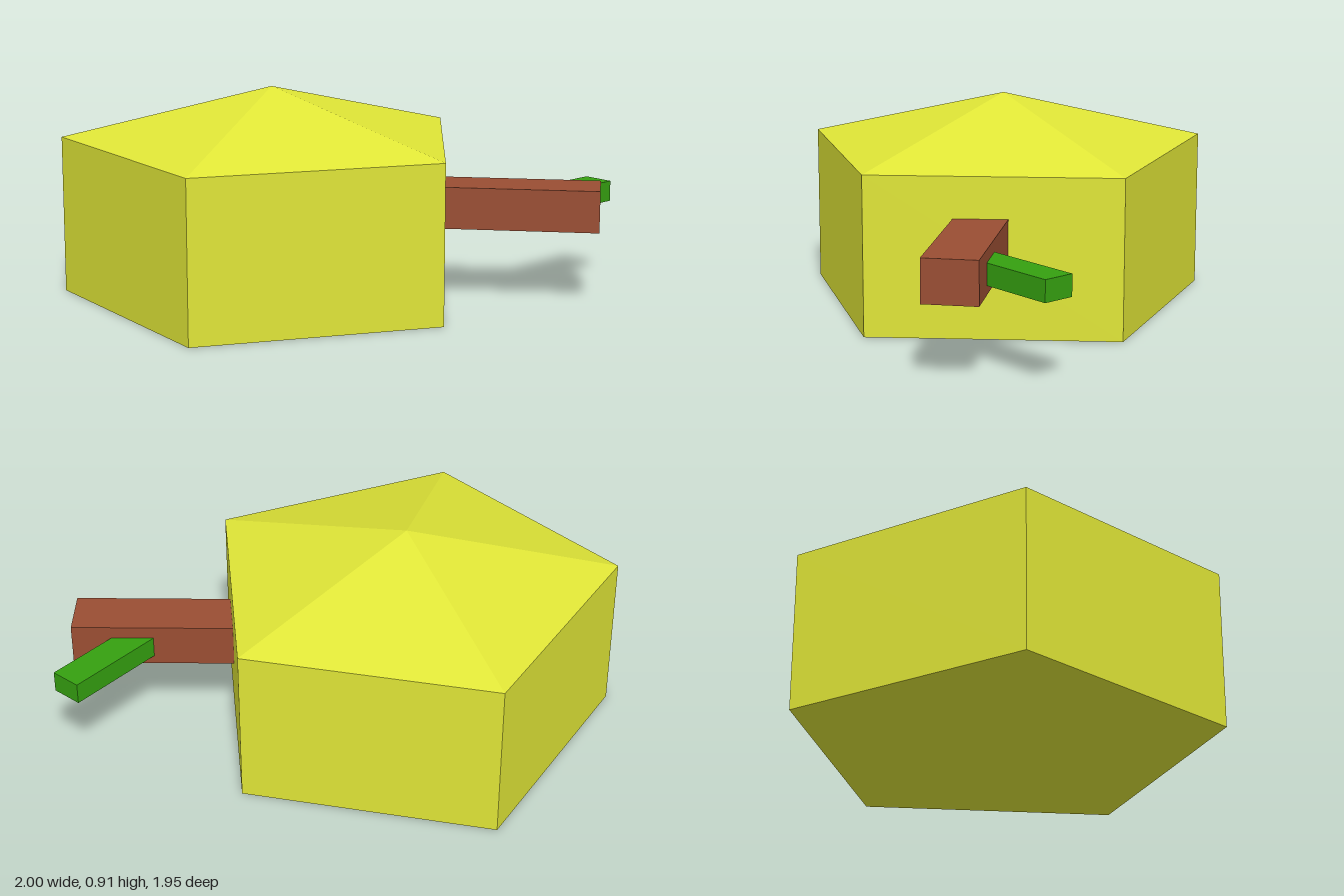
import * as THREE from 'three';

const material = (color) => new THREE.MeshStandardMaterial({ color, flatShading: true });

// A square bar in the horizontal plane, ending at (endX, endZ) and pointing along the given angle
function bar(name, color, [length, height, width], endX, endZ, y, degrees) {
  const geometry = new THREE.BoxGeometry(length, height, width).translate(-length / 2, 0, 0);
  const mesh = new THREE.Mesh(geometry, material(color));
  mesh.name = name;
  mesh.position.set(endX, y, endZ);
  mesh.rotation.y = THREE.MathUtils.degToRad(degrees);
  return mesh;
}

export function createModel() {
  const model = new THREE.Group();
  model.name = 'fruit';

  // Five-sided body with a shallow pointed top, one corner towards +x
  const radius = 0.91;
  const profile = [[0, 0], [radius, 0], [radius, 0.685], [0, 0.912]].map(([r, y]) => new THREE.Vector2(r, y));
  const body = new THREE.Mesh(new THREE.LatheGeometry(profile, 5, Math.PI / 2), material(0xe0e637));
  body.name = 'body';
  body.position.set(-0.265, 0, 0.11);
  model.add(body);

  // Stem out of the back left side, with a leaf branching off it
  model.add(bar('stem', 0x9a4e33, [0.78, 0.18, 0.226], 0.943, -0.617, 0.418, 30));
  model.add(bar('leaf', 0x35a010, [0.5, 0.09, 0.137], 0.728, -0.968, 0.411, 80.5));

  return model;
}
